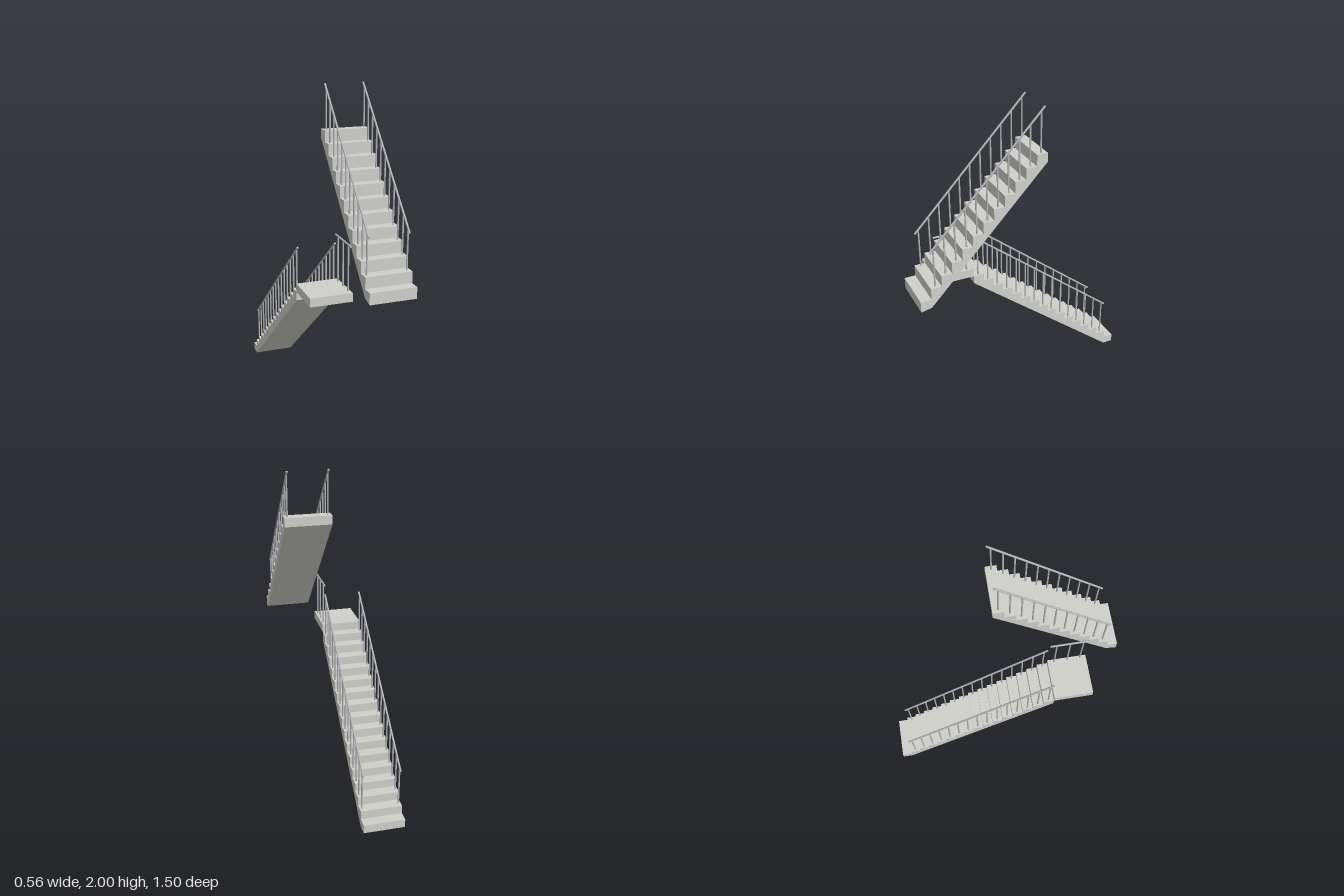
import * as THREE from 'three';

const stone = new THREE.MeshStandardMaterial({ color: 0xd0d0cb });
stone.name = 'pale stone';
const metal = new THREE.MeshStandardMaterial({ color: 0xb4b6ba });
metal.name = 'grey metal';

const RUN = 0.0658;

// Round bar between two points
function bar(name, a, b, radius) {
  const dir = new THREE.Vector3().subVectors(b, a);
  const mesh = new THREE.Mesh(new THREE.CylinderGeometry(radius, radius, dir.length(), 20), metal);
  mesh.name = name;
  mesh.position.addVectors(a, b).multiplyScalar(0.5);
  mesh.quaternion.setFromUnitVectors(new THREE.Vector3(0, 1, 0), dir.normalize());
  return mesh;
}

// Flight climbing from z0 in direction dir, with a sloping soffit and two railings
function flight({ name, steps, rise, width, x, y0, z0, dir, footLift, railX, railHeight }) {
  const group = new THREE.Group();
  group.name = name;

  // Stepped side profile: run along X, height along Y
  const profile = new THREE.Shape();
  profile.moveTo(0, 0);
  for (let i = 0; i < steps; i++) {
    profile.lineTo(i * RUN, (i + 1) * rise);
    profile.lineTo((i + 1) * RUN, (i + 1) * rise);
  }
  profile.lineTo(steps * RUN, (steps - 1) * rise + footLift);
  profile.lineTo(RUN, footLift);
  profile.closePath();
  const geometry = new THREE.ExtrudeGeometry(profile, { depth: width, bevelEnabled: false });
  geometry.translate(0, 0, -width / 2);
  geometry.rotateY(-dir * Math.PI / 2);
  const body = new THREE.Mesh(geometry, stone);
  body.name = 'steps';
  body.position.set(x, y0, z0);
  group.add(body);

  // A post on every step but the first, under a sloping handrail
  const slope = rise / RUN;
  const overhang = 0.022;
  for (const side of [-1, 1]) {
    const railing = new THREE.Group();
    railing.name = side < 0 ? 'rightRailing' : 'leftRailing';
    const at = (i, h, d = 0) => new THREE.Vector3(
      x + side * railX,
      y0 + (i + 1) * rise + h + d * slope,
      z0 + dir * ((i + 0.5) * RUN + d));
    for (let i = 1; i < steps; i++) {
      railing.add(bar('post', at(i, 0), at(i, railHeight), 0.005));
    }
    railing.add(bar('handrail', at(1, railHeight, -overhang), at(steps - 1, railHeight, overhang), 0.006));
    group.add(railing);
  }
  return group;
}

export function createModel() {
  const model = new THREE.Group();
  model.name = 'staircase';

  model.add(flight({
    name: 'lowerFlight', steps: 16, rise: 0.053, width: 0.255, x: -0.151, y0: 0,
    z0: -0.75, dir: 1, footLift: 0, railX: 0.114, railHeight: 0.25,
  }));
  model.add(flight({
    name: 'upperFlight', steps: 12, rise: 0.0692, width: 0.283, x: 0.136, y0: 0.901,
    z0: 0.75, dir: -1, footLift: 0.015, railX: 0.121, railHeight: 0.242,
  }));

  // Landing at the head of the lower flight
  const landing = new THREE.Group();
  landing.name = 'landing';
  const slab = new THREE.Mesh(new THREE.BoxGeometry(0.255, 0.053, 0.247), stone);
  slab.name = 'landingSlab';
  slab.position.set(-0.151, 0.8735, 0.4263);
  landing.add(slab);

  // Level railing on the inner edge of the landing
  const railX = -0.037;
  for (const z of [0.345, 0.428, 0.51]) {
    landing.add(bar('landingPost', new THREE.Vector3(railX, 0.9, z), new THREE.Vector3(railX, 1.175, z), 0.005));
  }
  landing.add(bar('landingHandrail', new THREE.Vector3(railX, 1.175, 0.304), new THREE.Vector3(railX, 1.175, 0.549), 0.006));
  model.add(landing);

  return model;
}
